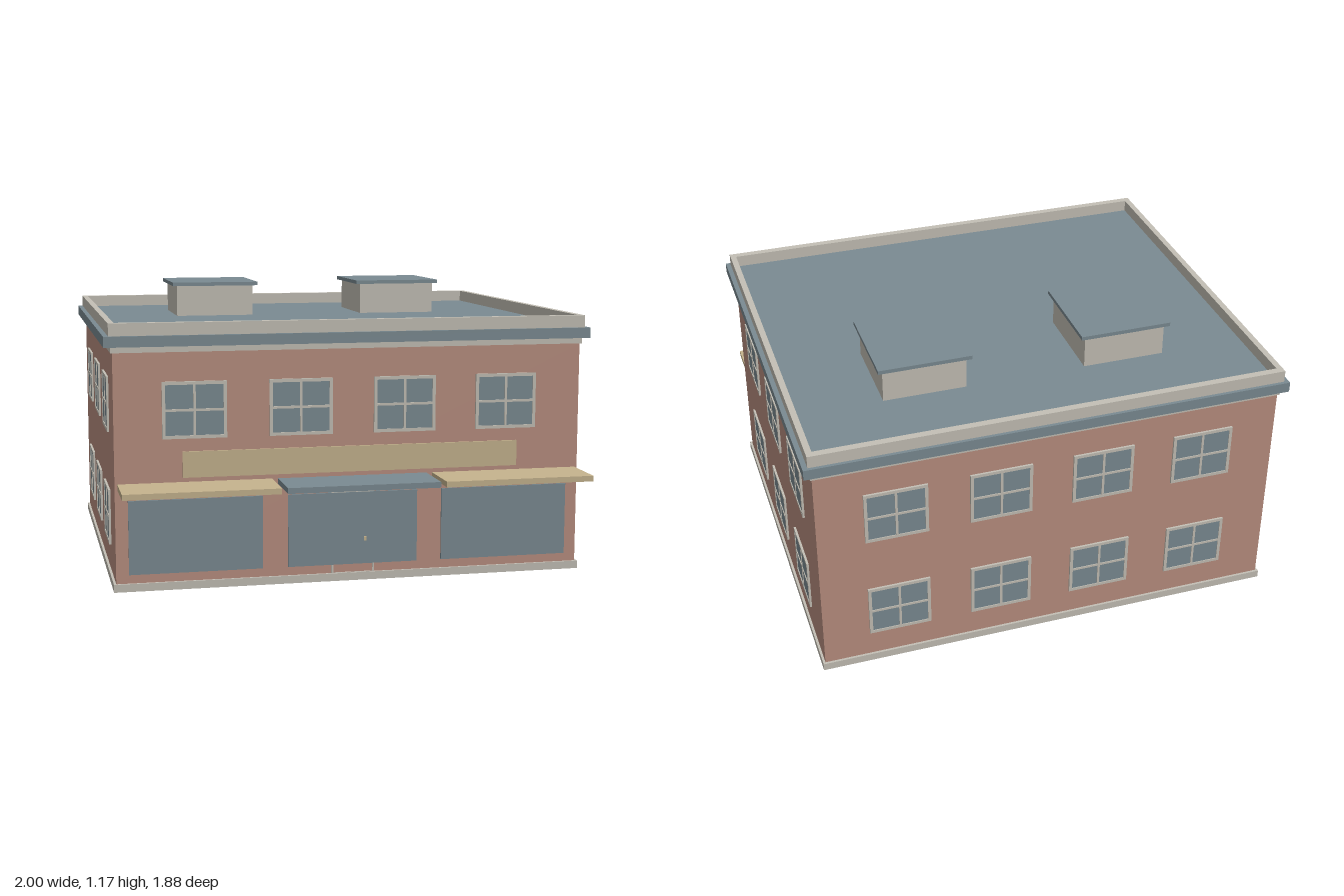
import * as THREE from 'three';

const material = (name, color) => {
  const m = new THREE.MeshStandardMaterial({ color });
  m.name = name;
  return m;
};

export function createModel() {
  const brick = material('brick', 0xb98f80);
  const stone = material('stone', 0xc4c0b6);
  const slate = material('slate', 0x7b8b92);
  const tan = material('tan', 0xc6b48e);

  const model = new THREE.Group();
  model.name = 'shopBuilding';
  const CZ = -0.092;              // building centre in z
  const HX = 0.965, HZ = 0.82;    // wall half sizes
  const FRONT = CZ + HZ;

  function add(parent, name, geometry, mat, x = 0, y = 0, z = 0) {
    const mesh = new THREE.Mesh(geometry, mat);
    mesh.name = name;
    mesh.position.set(x, y, z);
    parent.add(mesh);
    return mesh;
  }
  // Box given by its extents
  function box(parent, name, mat, x0, x1, y0, y1, z0, z1) {
    return add(parent, name, new THREE.BoxGeometry(x1 - x0, y1 - y0, z1 - z0), mat,
      (x0 + x1) / 2, (y0 + y1) / 2, (z0 + z1) / 2);
  }
  // Full storey slab centred on the building
  const slab = (name, mat, hx, hz, y0, y1) =>
    box(model, name, mat, -hx, hx, y0, y1, CZ - hz, CZ + hz);
  const rect = (Type, x0, x1, y0, y1) => {
    const p = new Type();
    p.moveTo(x0, y0).lineTo(x1, y0).lineTo(x1, y1).lineTo(x0, y1).closePath();
    return p;
  };

  // Main body
  slab('plinth', stone, 0.975, 0.83, 0, 0.032);
  slab('walls', brick, HX, HZ, 0.032, 0.955);
  slab('friezeBand', stone, 0.972, 0.827, 0.955, 0.979);
  slab('corniceAndRoof', slate, 1, 0.85, 0.979, 1.022);

  // Parapet ring around the roof
  const ring = rect(THREE.Shape, -0.98, 0.98, -0.836, 0.836);
  ring.holes.push(rect(THREE.Path, -0.955, 0.955, -0.806, 0.806));
  const parapetGeo = new THREE.ExtrudeGeometry(ring, { depth: 0.05, bevelEnabled: false });
  parapetGeo.rotateX(-Math.PI / 2);
  add(model, 'parapet', parapetGeo, stone, 0, 1.022, CZ);

  // Rooftop units
  for (const x of [-0.425, 0.425]) {
    box(model, 'roofUnit', stone, x - 0.173, x + 0.173, 1.022, 1.157, -0.573, -0.199);
    box(model, 'roofUnitCap', slate, x - 0.193, x + 0.193, 1.157, 1.173, -0.589, -0.184);
  }

  // Four-pane window: frame with holes over a glass plate
  const W = 0.129, H = 0.114, B = 0.013, M = 0.005;
  const frame = rect(THREE.Shape, -W, W, -H, H);
  for (const [x0, x1] of [[-W + B, -M], [M, W - B]])
    for (const [y0, y1] of [[-H + B, -M], [M, H - B]])
      frame.holes.push(rect(THREE.Path, x0, x1, y0, y1));
  const frameGeo = new THREE.ExtrudeGeometry(frame, { depth: 0.009, bevelEnabled: false });
  const glassGeo = new THREE.BoxGeometry(2 * (W - 0.004), 2 * (H - 0.004), 0.006);

  function windowAt(x, y, z, turn) {
    const g = new THREE.Group();
    g.name = 'window';
    add(g, 'windowFrame', frameGeo, stone);
    add(g, 'windowGlass', glassGeo, slate, 0, 0, 0.003);
    g.position.set(x, y, z);
    g.rotation.y = turn;
    model.add(g);
  }
  for (const x of [-0.645, -0.215, 0.215, 0.645]) {
    windowAt(x, 0.724, FRONT, 0);
    for (const y of [0.257, 0.724]) windowAt(x, y, CZ - HZ, Math.PI);
  }
  for (const dz of [-0.467, 0, 0.467])
    for (const y of [0.257, 0.724])
      for (const s of [-1, 1]) windowAt(s * HX, y, CZ + dz, s * Math.PI / 2);

  // Shop front: door frame behind the display glass
  const doorShape = rect(THREE.Shape, -0.09, 0.09, 0.03, 0.372);
  doorShape.holes.push(rect(THREE.Path, -0.082, 0.082, 0.034, 0.364));
  add(model, 'doorFrame',
    new THREE.ExtrudeGeometry(doorShape, { depth: 0.005, bevelEnabled: false }), stone, 0, 0, FRONT);
  for (const x of [-0.644, 0, 0.644])
    box(model, 'shopWindow', slate, x - 0.27, x + 0.27, 0.068, 0.367, FRONT, FRONT + 0.008);
  box(model, 'doorHandle', tan, 0.045, 0.055, 0.165, 0.181, FRONT, FRONT + 0.014);
  box(model, 'signBoard', tan, -0.695, 0.695, 0.453, 0.558, FRONT, FRONT + 0.009);

  // Flat awnings
  for (const [x, mat] of [[-0.644, tan], [0, slate], [0.644, tan]])
    box(model, 'awning', mat, x - 0.31, x + 0.31, 0.412, 0.435, FRONT, 0.942);

  return model;
}
